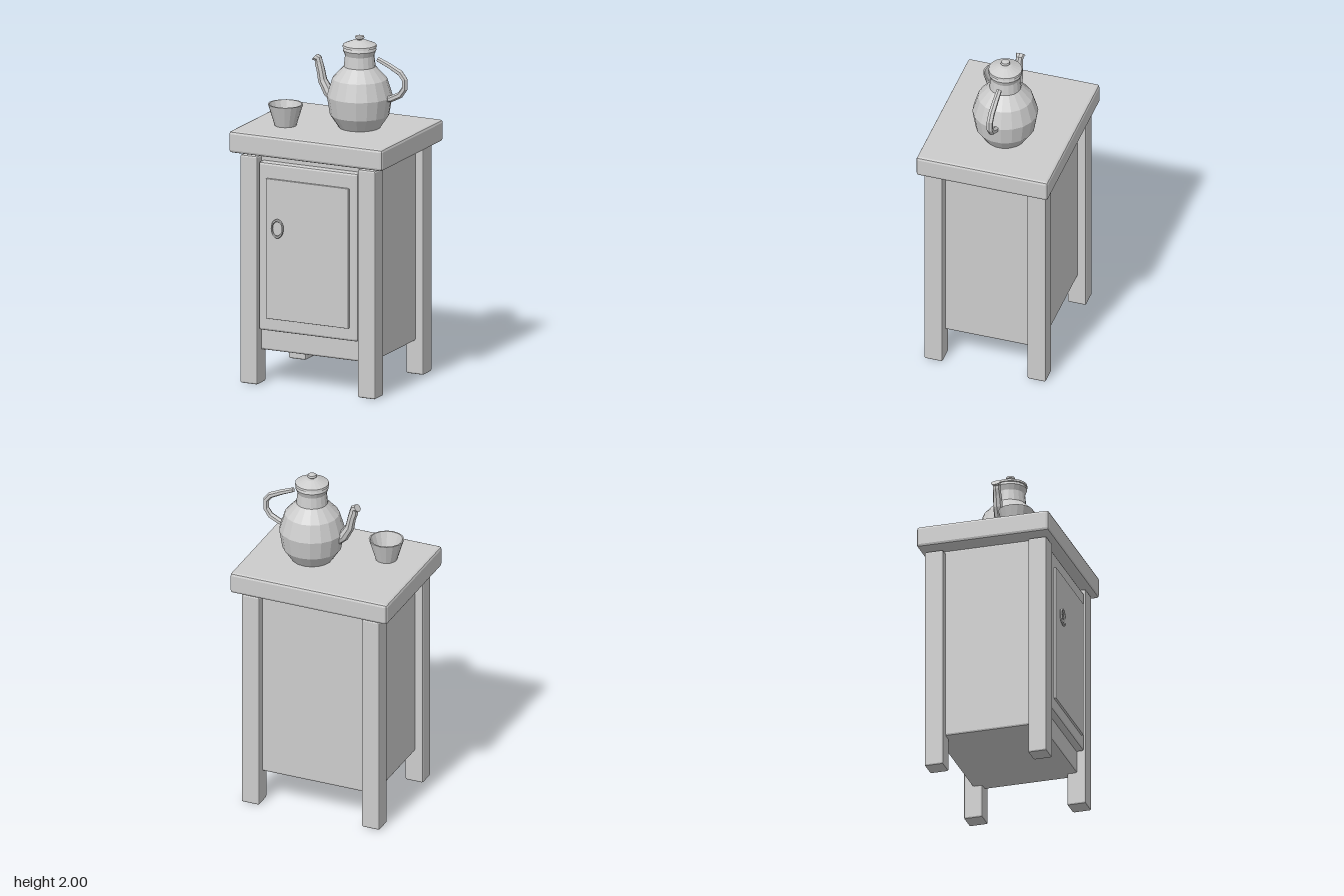
import * as THREE from 'three';
import { RoundedBoxGeometry } from 'three/addons/geometries/RoundedBoxGeometry.js';

const grey = new THREE.MeshStandardMaterial({ color: 0xcccccc, flatShading: true });
grey.name = 'plain grey';

function add(parent, name, geometry, x = 0, y = 0, z = 0) {
  const mesh = new THREE.Mesh(geometry, grey);
  mesh.name = name;
  mesh.position.set(x, y, z);
  parent.add(mesh);
  return mesh;
}

// Chamfered box given by its limits on each axis
function block(parent, name, [x0, x1], [y0, y1], [z0, z1], bevel) {
  const geometry = new RoundedBoxGeometry(x1 - x0, y1 - y0, z1 - z0, 1, bevel);
  return add(parent, name, geometry, (x0 + x1) / 2, (y0 + y1) / 2, (z0 + z1) / 2);
}

function lathe(points, sides) {
  return new THREE.LatheGeometry(points.map(([r, y]) => new THREE.Vector2(r, y)), sides);
}

// Sweep in the xy plane; each section is [x, y, radius in plane, radius in z, optional direction]
function sweep(sections, sides) {
  const pos = [], index = [], last = sections.length - 1;
  sections.forEach(([x, y, r, rz, dir], i) => {
    const a = sections[Math.max(i - 1, 0)], b = sections[Math.min(i + 1, last)];
    const t = dir ?? Math.atan2(b[1] - a[1], b[0] - a[0]);
    for (let j = 0; j < sides; j++) {
      const p = (j / sides) * Math.PI * 2, c = Math.cos(p) * r;
      pos.push(x - Math.sin(t) * c, y + Math.cos(t) * c, Math.sin(p) * rz);
    }
  });
  const start = pos.length / 3, end = start + 1;
  pos.push(sections[0][0], sections[0][1], 0, sections[last][0], sections[last][1], 0);
  for (let j = 0; j < sides; j++) {
    const k = (j + 1) % sides;
    for (let i = 0; i < last; i++) {
      const a = i * sides + j, b = i * sides + k;
      index.push(a, b, a + sides, b, b + sides, a + sides);
    }
    index.push(start, k, j, end, last * sides + j, last * sides + k);
  }
  const geometry = new THREE.BufferGeometry();
  geometry.setAttribute('position', new THREE.Float32BufferAttribute(pos, 3));
  geometry.setIndex(index);
  geometry.computeVertexNormals();
  return geometry;
}

export function createModel() {
  const model = new THREE.Group();
  model.name = 'cabinetWithJugAndCup';

  // Cabinet
  const cabinet = new THREE.Group();
  cabinet.name = 'cabinet';
  model.add(cabinet);
  block(cabinet, 'tableTop', [-0.483, 0.483], [1.34, 1.465], [-0.39, 0.39], 0.016);
  block(cabinet, 'cabinetBody', [-0.375, 0.375], [0.195, 1.345], [-0.31, 0.31], 0.012);
  for (const sx of [-1, 1]) {
    for (const sz of [-1, 1]) {
      const leg = block(cabinet, 'leg', [-0.055, 0.055], [0, 1.33], [-0.055, 0.055], 0.01);
      leg.position.x = sx * 0.37;
      leg.position.z = sz * 0.305;
    }
  }

  // Door with raised panel and ring pull
  block(cabinet, 'door', [-0.313, 0.313], [0.32, 1.3], [0.28, 0.353], 0.014);
  block(cabinet, 'doorPanel', [-0.26, 0.26], [0.395, 1.21], [0.335, 0.366], 0.004);
  const ring = add(cabinet, 'ringPull', new THREE.TorusGeometry(0.048, 0.008, 6, 16), -0.18, 0.93, 0.381);
  ring.scale.x = 0.72;
  ring.rotation.x = -0.06;

  // Jug, turned in one piece with its lid and knob
  const jug = new THREE.Group();
  jug.name = 'jug';
  jug.position.z = -0.028;
  model.add(jug);
  add(jug, 'jugBody', lathe([
    [0, 1.466], [0.118, 1.466], [0.168, 1.54], [0.186, 1.65], [0.155, 1.75],
    [0.09, 1.82], [0.083, 1.885], [0.095, 1.915], [0.088, 1.935], [0, 1.935],
  ], 18), 0.135);
  add(jug, 'jugLid', lathe([
    [0, 1.93], [0.097, 1.932], [0.095, 1.945], [0.035, 1.97], [0, 1.974],
  ], 18), 0.135);
  add(jug, 'lidKnob', lathe([
    [0.014, 1.965], [0.014, 1.975], [0.027, 1.983], [0.024, 1.995], [0, 2],
  ], 12), 0.135);

  // Handle and spout
  add(jug, 'handle', sweep([
    [0.25, 1.872, 0.014, 0.016], [0.32, 1.843, 0.016, 0.018], [0.39, 1.808, 0.018, 0.019],
    [0.418, 1.772, 0.018, 0.019], [0.418, 1.72, 0.018, 0.019], [0.39, 1.68, 0.018, 0.019],
    [0.335, 1.652, 0.018, 0.019], [0.28, 1.64, 0.018, 0.019],
  ], 6), 0);
  add(jug, 'spout', sweep([
    [0.0, 1.6, 0.035, 0.034], [-0.06, 1.645, 0.031, 0.032], [-0.098, 1.71, 0.027, 0.028],
    [-0.11, 1.77, 0.025, 0.025], [-0.122, 1.81, 0.026, 0.022],
    [-0.126, 1.833, 0.024, 0.022, 2.2], [-0.145, 1.841, 0.024, 0.029, 2.45],
  ], 8), 0);

  // Cup, open at the top
  add(model, 'cup', lathe([
    [0, 1.466], [0.062, 1.466], [0.1, 1.59], [0.092, 1.59], [0.054, 1.478], [0, 1.474],
  ], 16), -0.255, 0, 0.126);

  return model;
}
